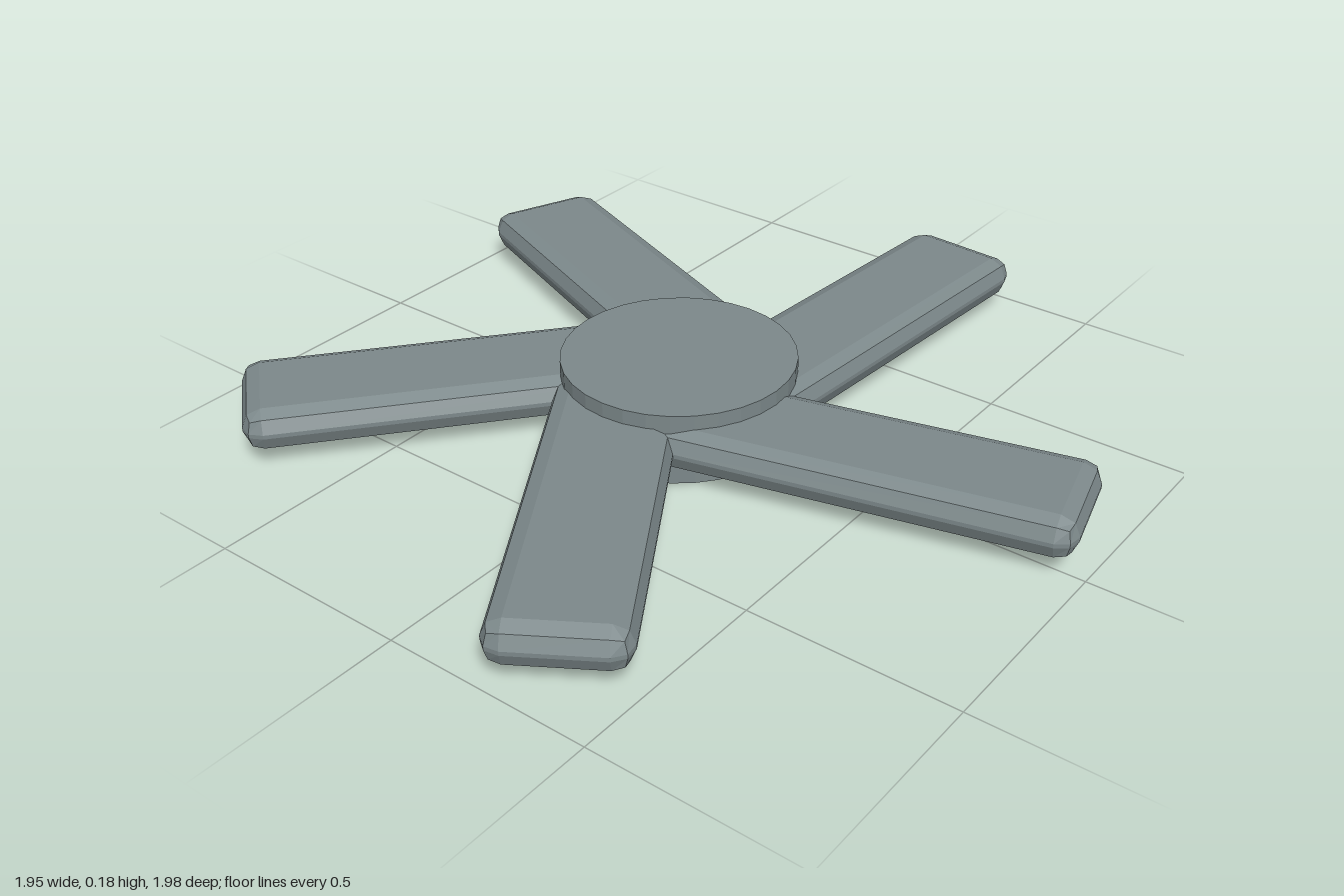
import * as THREE from 'three';
import { RoundedBoxGeometry } from 'three/addons/geometries/RoundedBoxGeometry.js';

const BLADES = 5;
const HUB_RADIUS = 0.277;
const HUB_HEIGHT = 0.176;

export function createModel() {
  const model = new THREE.Group();
  model.name = 'fanRotor';
  const material = new THREE.MeshStandardMaterial({ color: 0x7c888a, flatShading: true });

  // The rotor axis sits slightly off the centre of the bounding box
  const rotor = new THREE.Group();
  rotor.name = 'rotor';
  rotor.position.set(-0.056, 0, 0.005);
  model.add(rotor);

  // Hub disc
  const hub = new THREE.Mesh(
    new THREE.CylinderGeometry(HUB_RADIUS, HUB_RADIUS, HUB_HEIGHT, 32), material);
  hub.name = 'hub';
  hub.position.y = HUB_HEIGHT / 2;
  rotor.add(hub);

  // Bevelled blades, each set to one side of its radius
  const bladeGeometry = new RoundedBoxGeometry(1, 0.1, 0.3, 1, 0.045);
  bladeGeometry.translate(0.5, 0.09, 0.134);
  for (let i = 0; i < BLADES; i++) {
    const blade = new THREE.Mesh(bladeGeometry, material);
    blade.name = `blade${i + 1}`;
    blade.rotation.y = THREE.MathUtils.degToRad(14.2) + (i * Math.PI * 2) / BLADES;
    rotor.add(blade);
  }
  return model;
}
